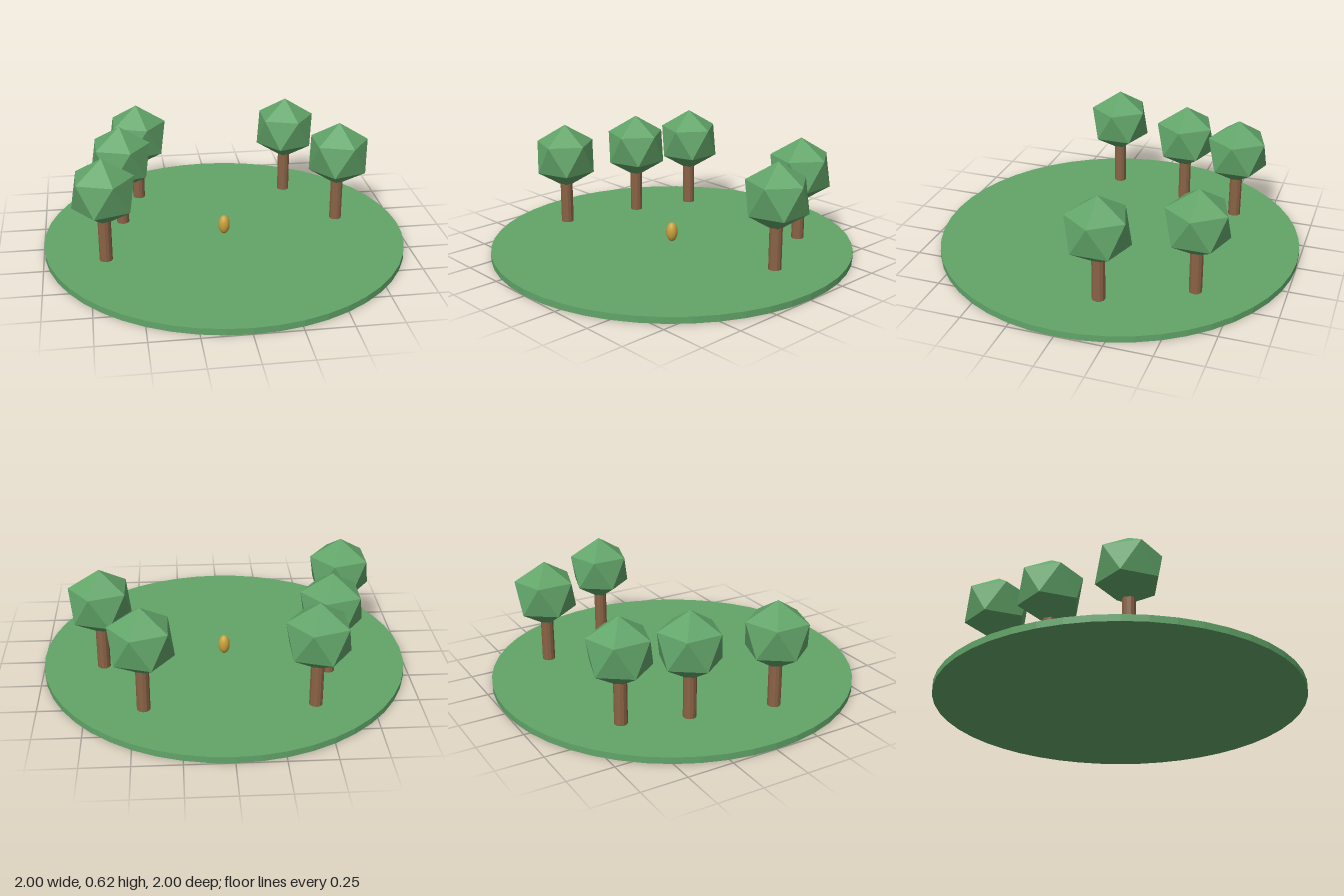
import * as THREE from 'three';
import { ConvexGeometry } from 'three/addons/geometries/ConvexGeometry.js';

const GROUND_TOP = 0.035;

function material(name, color, flatShading = true) {
  const m = new THREE.MeshStandardMaterial({ color, flatShading });
  m.name = name;
  return m;
}

// Icosahedron standing on one vertex: two poles and two staggered rings of five
function crownGeometry(r) {
  const points = [new THREE.Vector3(0, r, 0), new THREE.Vector3(0, -r, 0)];
  const ringRadius = (2 * r) / Math.sqrt(5);
  const ringHeight = r / Math.sqrt(5);
  for (let i = 0; i < 5; i++) {
    const a = (i * Math.PI * 2) / 5;
    const b = a + Math.PI / 5;
    points.push(
      new THREE.Vector3(Math.cos(a) * ringRadius, ringHeight, Math.sin(a) * ringRadius),
      new THREE.Vector3(Math.cos(b) * ringRadius, -ringHeight, Math.sin(b) * ringRadius)
    );
  }
  return new ConvexGeometry(points);
}

export function createModel() {
  const green = material('leafGreen', 0x62a569);
  const brown = material('barkBrown', 0x8b6346);
  const gold = material('gold', 0xc9a03c, false);

  const model = new THREE.Group();
  model.name = 'clearing';

  const add = (parent, name, geometry, mat, x, y, z) => {
    const mesh = new THREE.Mesh(geometry, mat);
    mesh.name = name;
    mesh.position.set(x, y, z);
    parent.add(mesh);
    return mesh;
  };

  // Round meadow
  add(model, 'ground', new THREE.CylinderGeometry(1, 1, GROUND_TOP, 48), green, 0, GROUND_TOP / 2, 0);

  // Trees around the clearing
  const trunkHeight = 0.26;
  const trunkGeometry = new THREE.CylinderGeometry(0.035, 0.035, trunkHeight, 12);
  const leaves = crownGeometry(0.187);
  const spots = [
    [-0.667, 0.222], [-0.556, -0.222], [-0.444, -0.556],
    [0.444, -0.556], [0.667, -0.111]
  ];
  for (const [x, z] of spots) {
    const tree = new THREE.Group();
    tree.name = 'tree';
    tree.position.set(x, 0, z);
    add(tree, 'trunk', trunkGeometry, brown, 0, GROUND_TOP + trunkHeight / 2, 0);
    add(tree, 'crown', leaves, green, 0, 0.43, 0);
    model.add(tree);
  }

  // Golden egg in the middle
  const egg = add(model, 'egg', new THREE.SphereGeometry(1, 24, 16), gold, 0, 0.087, 0);
  egg.scale.set(0.032, 0.055, 0.032);

  return model;
}
